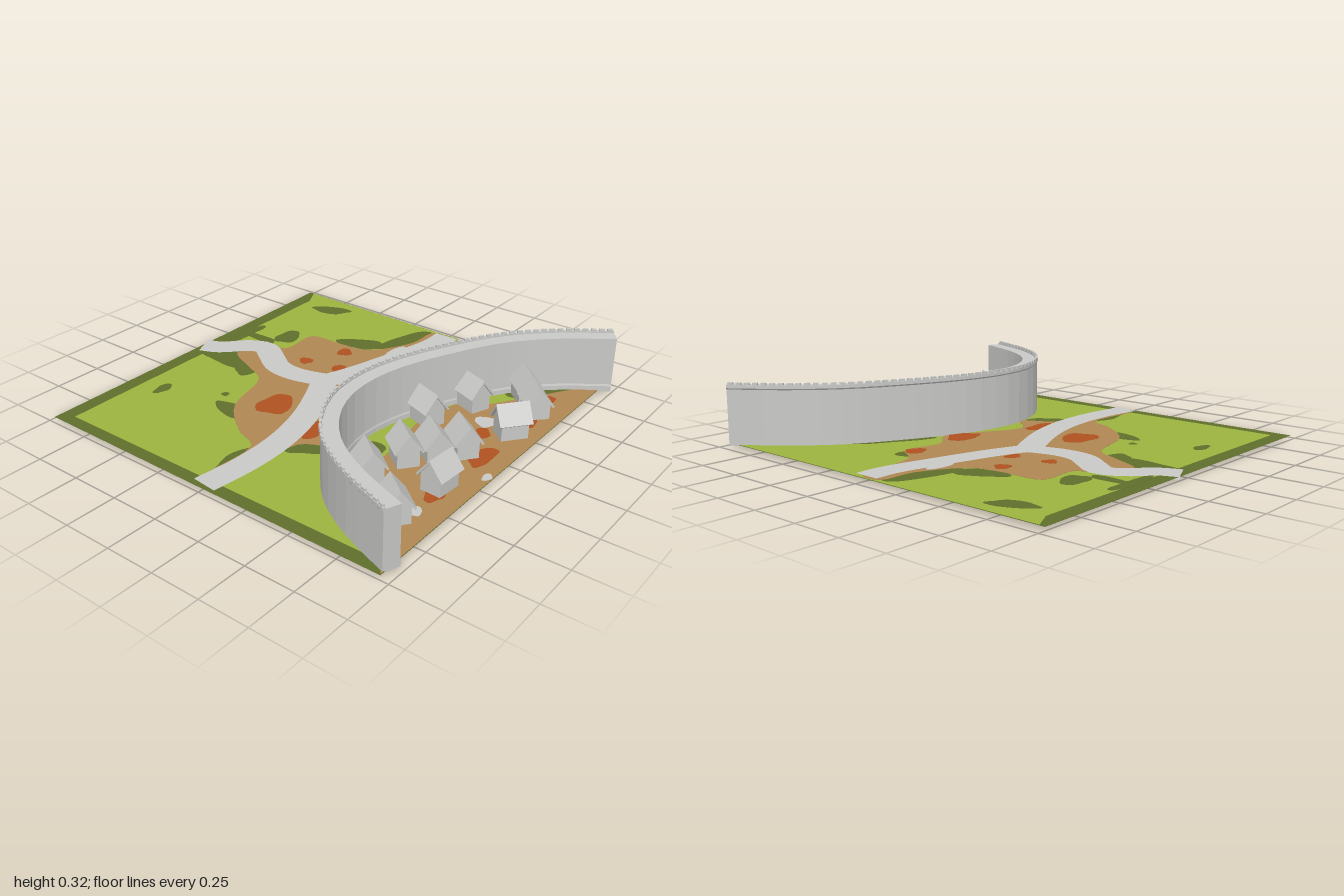
import * as THREE from 'three';
import { mergeGeometries } from 'three/addons/utils/BufferGeometryUtils.js';

const GROUND = 0.015;

function material(name, color, side = THREE.FrontSide) {
  const m = new THREE.MeshStandardMaterial({ color, side, flatShading: true });
  m.name = name;
  return m;
}

// Thin plate lying on the ground plane, showing on both its top and its underside
function plate(points, layer, smooth = true) {
  let pts = points.map(([x, z]) => new THREE.Vector2(x, z));
  if (smooth) {
    const curve = new THREE.CatmullRomCurve3(points.map(([x, z]) => new THREE.Vector3(x, z, 0)), true);
    pts = curve.getPoints(points.length * 5).slice(0, -1).map(p => new THREE.Vector2(p.x, p.y));
  }
  const t = 0.0007 * (layer + 1);
  const geo = new THREE.ExtrudeGeometry(new THREE.Shape(pts), { depth: 2 * t, bevelEnabled: false });
  return geo.rotateX(Math.PI / 2).translate(0, GROUND + t, 0);
}

// Irregular oval outline, turned by an angle in the x-z plane
function blob(x, z, rx, rz = rx, turn = 0) {
  return Array.from({ length: 9 }, (_, i) => {
    const a = i / 9 * Math.PI * 2;
    const k = 1 + 0.14 * Math.sin(i * 2.3 + x * 20);
    const u = rx * k * Math.cos(a), v = rz * k * Math.sin(a);
    return [x + u * Math.cos(turn) - v * Math.sin(turn), z + u * Math.sin(turn) + v * Math.cos(turn)];
  });
}

const path = pts => new THREE.CatmullRomCurve3(pts.map(([x, z]) => new THREE.Vector3(x, 0, z)));

// Point on a path moved sideways by off, at height y
function offsetPoint(curve, u, off, y) {
  const p = curve.getPointAt(u), t = curve.getTangentAt(u);
  return [p.x + t.z * off, y, p.z - t.x * off];
}

// Sweeps a cross-section of [offset, y] points along a path, up to fraction end
function sweep(curve, section, n, closed, end = 1) {
  const pos = [], idx = [], m = section.length;
  for (let i = 0; i <= n; i++) {
    for (const [off, y] of section) pos.push(...offsetPoint(curve, end * i / n, off, y));
  }
  for (let i = 0; i < n; i++) {
    for (let j = 0; j < (closed ? m : m - 1); j++) {
      const a = i * m + j, b = i * m + (j + 1) % m, c = a + m, d = b + m;
      idx.push(a, b, c, b, d, c);
    }
  }
  if (closed) {
    const tris = THREE.ShapeUtils.triangulateShape(section.map(s => new THREE.Vector2(...s)), []);
    for (const [a, b, c] of tris) idx.push(a, b, c, n * m + a, n * m + c, n * m + b);
  }
  const geo = new THREE.BufferGeometry();
  geo.setAttribute('position', new THREE.Float32BufferAttribute(pos, 3));
  geo.setIndex(idx);
  geo.computeVertexNormals();
  return geo;
}

// Extrudes a gable profile, centred along z
function gable(points, length) {
  const shape = new THREE.Shape(points.map(p => new THREE.Vector2(...p)));
  return new THREE.ExtrudeGeometry(shape, { depth: length, bevelEnabled: false }).translate(0, 0, -length / 2);
}

export function createModel() {
  const model = new THREE.Group();
  const stone = material('pale grey stone', 0xc9c9c7, THREE.DoubleSide);
  const darkGrass = material('dark grass', 0x60702c);
  const grass = material('light grass', 0x9db43f);
  const earth = material('brown earth', 0xb08752);
  const clay = material('rust clay', 0xb05220);
  const add = (name, geo, mat, parent = model) => {
    const mesh = new THREE.Mesh(geo, mat);
    mesh.name = name;
    parent.add(mesh);
  };
  const blobs = (name, list, layer, mat) =>
    add(name, mergeGeometries(list.map(b => plate(blob(...b), layer))), mat);

  // Ground and field
  add('ground', plate([[-0.98, -0.985], [0.96, -0.998], [0.95, 0.945], [-0.99, 0.955]], 0, false), darkGrass);
  add('field', plate([[-0.92, -0.91], [0.86, -0.92], [0.957, -0.97], [0.948, 0.944], [-0.92, 0.952]], 1, false), grass);

  // Scrub patches
  blobs('scrub', [
    [0.01, -0.76, 0.09, 0.18], [-0.04, -0.6, 0.07, 0.06], [0.27, -0.9, 0.17, 0.03], [0.29, -0.82, 0.03, 0.13],
    [0.39, -0.69, 0.08, 0.06], [-0.46, -0.79, 0.06, 0.03], [0.83, -0.73, 0.05, 0.11, -0.4], [-0.31, -0.5, 0.02],
    [-0.4, -0.35, 0.06, 0.12], [0.57, -0.32, 0.06, 0.13, -0.4], [0.74, -0.15, 0.18, 0.06, 0.3],
    [-0.75, 0, 0.19, 0.08], [-0.42, 0.14, 0.12, 0.09, 0.6], [-0.3, 0.38, 0.08, 0.08],
    [-0.69, 0.61, 0.14, 0.05, -0.9], [0.38, 0.41, 0.2, 0.04, 0.5], [0.54, 0.17, 0.06, 0.05],
    [0.66, 0.71, 0.17, 0.05, 0.75],
  ], 2, darkGrass);

  // Bare earth around the crossroads and inside the wall
  add('crossroadsEarth', plate([[0.08, -0.78], [0.24, -0.68], [0.28, -0.6], [0.48, -0.59], [0.5, -0.4],
    [0.53, -0.24], [0.75, -0.1], [0.93, -0.08], [0.93, 0.03], [0.6, 0.1], [0.5, 0.23], [0.3, 0.2], [0.16, 0.3],
    [-0.22, 0.13], [-0.36, 0.25], [-0.46, 0.1], [-0.94, 0.03], [-0.94, -0.05], [-0.6, -0.06], [-0.53, -0.2],
    [-0.37, -0.38], [-0.08, -0.48], [-0.02, -0.6]], 3), earth);
  add('villageEarth', plate([[-0.985, 0.953], [-0.86, 0.86], [-0.74, 0.7], [-0.5, 0.47], [-0.28, 0.47],
    [0.08, 0.41], [0.3, 0.46], [0.42, 0.6], [0.78, 0.83], [0.948, 0.944]], 3, false), earth);
  blobs('claySpots', [
    [-0.24, -0.23, 0.1, 0.085], [0.225, -0.42, 0.036], [0.43, -0.32, 0.04], [0.26, -0.23, 0.045, 0.03],
    [-0.31, 0.07, 0.1, 0.055], [0.12, 0.22, 0.09, 0.07], [0.48, 0.18, 0.055, 0.045], [-0.03, 0.82, 0.1, 0.05],
    [0.14, 0.71, 0.055, 0.04], [-0.42, 0.82, 0.06, 0.04], [0.37, 0.83, 0.06, 0.04], [0.6, 0.78, 0.07, 0.06],
  ], 4, clay);
  blobs('bareRock', [[0.25, 0.67, 0.052], [-0.57, 0.82, 0.035], [-0.165, 0.925, 0.032, 0.02],
    [0.6, -0.11, 0.09, 0.025]], 5, stone);

  // Roads meeting at a fork; their outer ends also show on the underside
  const addRoad = (name, under, pts) => {
    const curve = path(pts), w = 0.067;
    add(name, sweep(curve, [[w, GROUND + 0.006], [-w, GROUND + 0.006]], 28, false), stone);
    add(name + 'Underside', sweep(curve, [[w, GROUND - 0.006], [-w, GROUND - 0.006]], 12, false, under), stone);
  };
  addRoad('leftRoad', 0.3, [[-0.965, 0], [-0.71, 0.027], [-0.47, 0.016], [-0.235, -0.04], [-0.03, -0.127], [0.11, -0.2]]);
  addRoad('rightRoad', 0.5, [[0.935, 0.005], [0.807, 0.005], [0.53, -0.058], [0.267, -0.13], [0.08, -0.2]]);
  addRoad('backRoad', 0.35, [[0.02, -0.98], [0.06, -0.89], [0.172, -0.778], [0.204, -0.69], [0.15, -0.6],
    [0.08, -0.49], [0.066, -0.37], [0.093, -0.25], [0.12, -0.18]]);

  // Curved town wall with a ledge along the outer edge
  const wallPath = path([[-0.934, 0.965], [-0.82, 0.68], [-0.69, 0.48], [-0.527, 0.35], [-0.368, 0.285], [-0.18, 0.267],
    [0.03, 0.302], [0.325, 0.42], [0.59, 0.57], [0.785, 0.757], [0.945, 0.972]]);
  add('townWall', sweep(wallPath, [[0.04, 0.011], [0.04, 0.285], [0.045, 0.292], [0.045, 0.308], [0.03, 0.308],
    [0.03, 0.3], [-0.04, 0.3], [-0.04, 0.05], [-0.043, 0.04], [-0.043, 0.011]], 28, true), stone);

  // Battlement teeth
  const teeth = Array.from({ length: 62 }, (_, i) => {
    const u = (i + 0.5) / 62, t = wallPath.getTangentAt(u);
    return new THREE.BoxGeometry(0.026, 0.014, 0.012)
      .rotateY(Math.atan2(-t.z, t.x)).translate(...offsetPoint(wallPath, u, 0.037, 0.312));
  });
  add('battlements', mergeGeometries(teeth), stone);

  // Houses: x, z, turn, and how far the house sinks into the ground
  const wallShape = gable([[-0.052, 0.01], [0.052, 0.01], [0.052, 0.115], [0, 0.174], [-0.052, 0.115]], 0.132);
  const roofShape = gable([[-0.069, 0.1], [-0.061, 0.093], [0, 0.172], [0.061, 0.093], [0.069, 0.1], [0, 0.187]], 0.162);
  const houses = [
    [-0.648, 0.777, 2.47], [-0.48, 0.52, 2.47], [-0.27, 0.56, 2.47], [-0.16, 0.645, 2.47], [-0.05, 0.73, 2.47],
    [-0.357, 0.804, 1.51], [0.09, 0.44, -0.37], [0.347, 0.534, -0.37], [0.22, 0.82, 0.89],
    [0.468, 0.81, 2.38, 0.01], [0.574, 0.698, 2.38],
  ];
  for (const [x, z, turn, sink = 0] of houses) {
    const house = new THREE.Group();
    house.name = 'house';
    add('houseWalls', wallShape, stone, house);
    add('houseRoof', roofShape, stone, house);
    house.position.set(x, -sink, z);
    house.rotation.y = turn;
    model.add(house);
  }
  return model;
}
